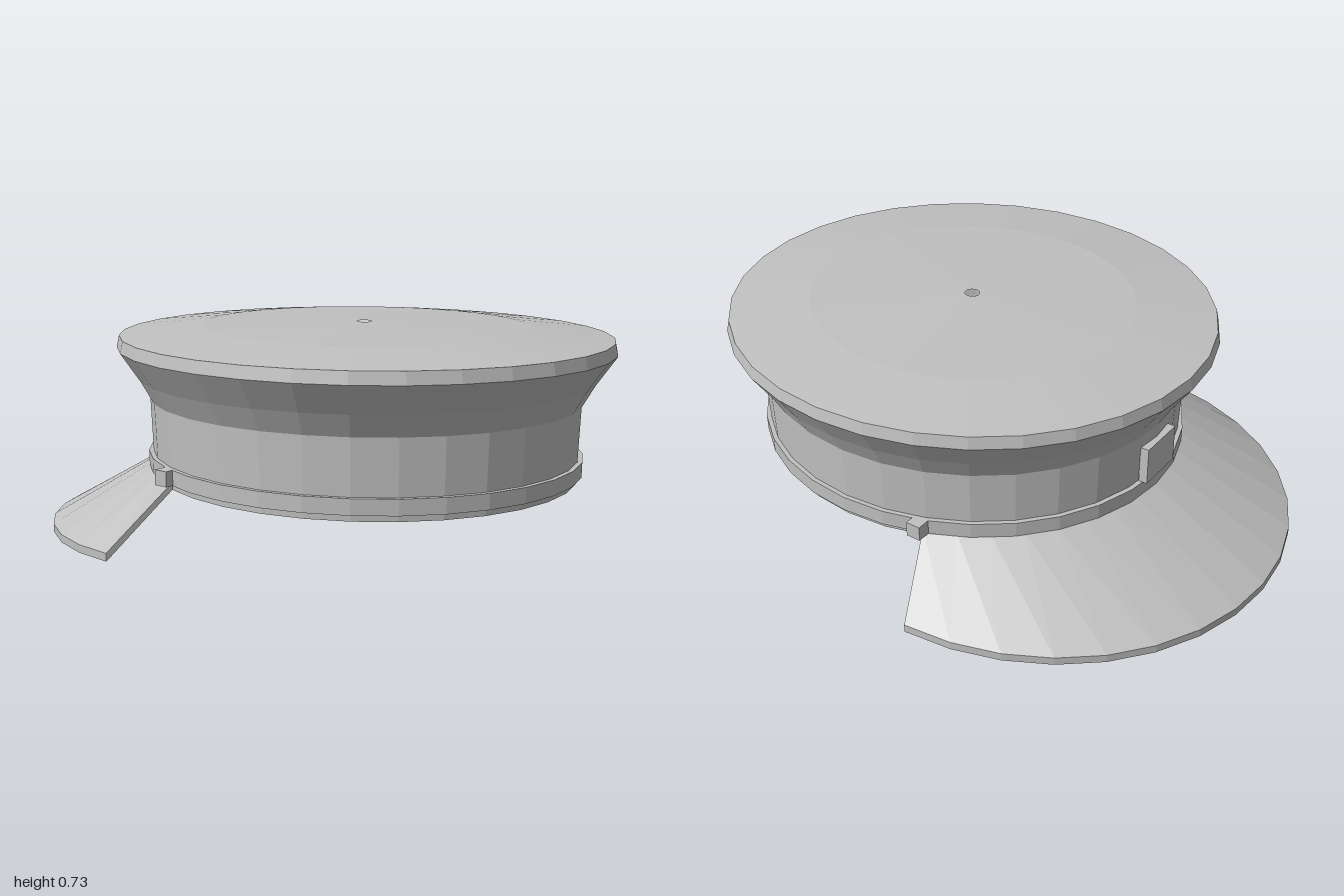
import * as THREE from 'three';

const SEGMENTS = 32;
const CENTER_Z = 0.153; // middle of the cap body
const STRETCH = 1.063;  // body is slightly oval, longer in z

export function createModel() {
  const cap = new THREE.Group();
  cap.name = 'peakedCap';
  const cloth = new THREE.MeshStandardMaterial({ color: 0xc0c0c0, flatShading: true, side: THREE.DoubleSide });
  cloth.name = 'grey cloth';

  const add = (name, geometry, x = 0, y = 0, z = 0) => {
    const mesh = new THREE.Mesh(geometry, cloth);
    mesh.name = name;
    mesh.position.set(x, y, z);
    cap.add(mesh);
    return mesh;
  };
  const ring = (name, profile) => {
    const points = profile.map(([r, y]) => new THREE.Vector2(r, y));
    add(name, new THREE.LatheGeometry(points, SEGMENTS), 0, 0, CENTER_Z).scale.z = STRETCH;
  };

  // Open body: upright band, flared crown and shallow domed top with a small centre hole
  ring('band', [[0.68, 0.235], [0.69, 0.487]]);
  ring('crown', [[0.69, 0.487], [0.73, 0.56], [0.793, 0.655]]);
  ring('crownRim', [[0.793, 0.655], [0.785, 0.695]]);
  ring('crownTop', [[0.785, 0.695], [0.525, 0.725], [0.024, 0.736]]);

  // Strap around the foot of the band
  ring('strap', [[0.682, 0.257], [0.697, 0.257], [0.698, 0.308], [0.683, 0.308]]);

  // Strap buttons and badge plate
  for (const side of [-1, 1]) {
    add(side > 0 ? 'leftButton' : 'rightButton', new THREE.BoxGeometry(0.05, 0.05, 0.05), side * 0.66, 0.283, -0.115);
  }
  add('badge', new THREE.BoxGeometry(0.17, 0.13, 0.03), 0, 0.375, -0.583);

  add('visor', visorGeometry());
  return cap;
}

// Sloping visor: a four-cornered section swept from the band out to a wider arc
function visorGeometry() {
  const steps = 16;
  const positions = [];
  const index = [];
  for (let i = 0; i <= steps; i++) {
    const t = (i / steps) * 2 - 1;
    const a = t * THREE.MathUtils.degToRad(68.5);
    const b = t * THREE.MathUtils.degToRad(86.8);
    const ix = 0.682 * Math.sin(a);
    const iz = CENTER_Z - 0.728 * Math.cos(a);
    const ox = 0.847 * Math.sin(b);
    const oz = -0.15 - 0.85 * Math.cos(b);
    const oy = 0.0675 + 0.0375 * oz; // outer edge dips towards the tip
    positions.push(ix, 0.262, iz, ox, oy, oz, ox, oy - 0.027, oz, ix, 0.238, iz);
  }
  for (let i = 0; i < steps; i++) {
    for (let k = 0; k < 4; k++) {
      const p = i * 4 + k;
      const q = i * 4 + ((k + 1) % 4);
      index.push(p, p + 4, q, q, p + 4, q + 4);
    }
  }
  // End caps
  const e = steps * 4;
  index.push(0, 1, 2, 0, 2, 3, e, e + 2, e + 1, e, e + 3, e + 2);
  const geometry = new THREE.BufferGeometry();
  geometry.setAttribute('position', new THREE.Float32BufferAttribute(positions, 3));
  geometry.setIndex(index);
  const flat = geometry.toNonIndexed();
  flat.computeVertexNormals();
  return flat;
}
